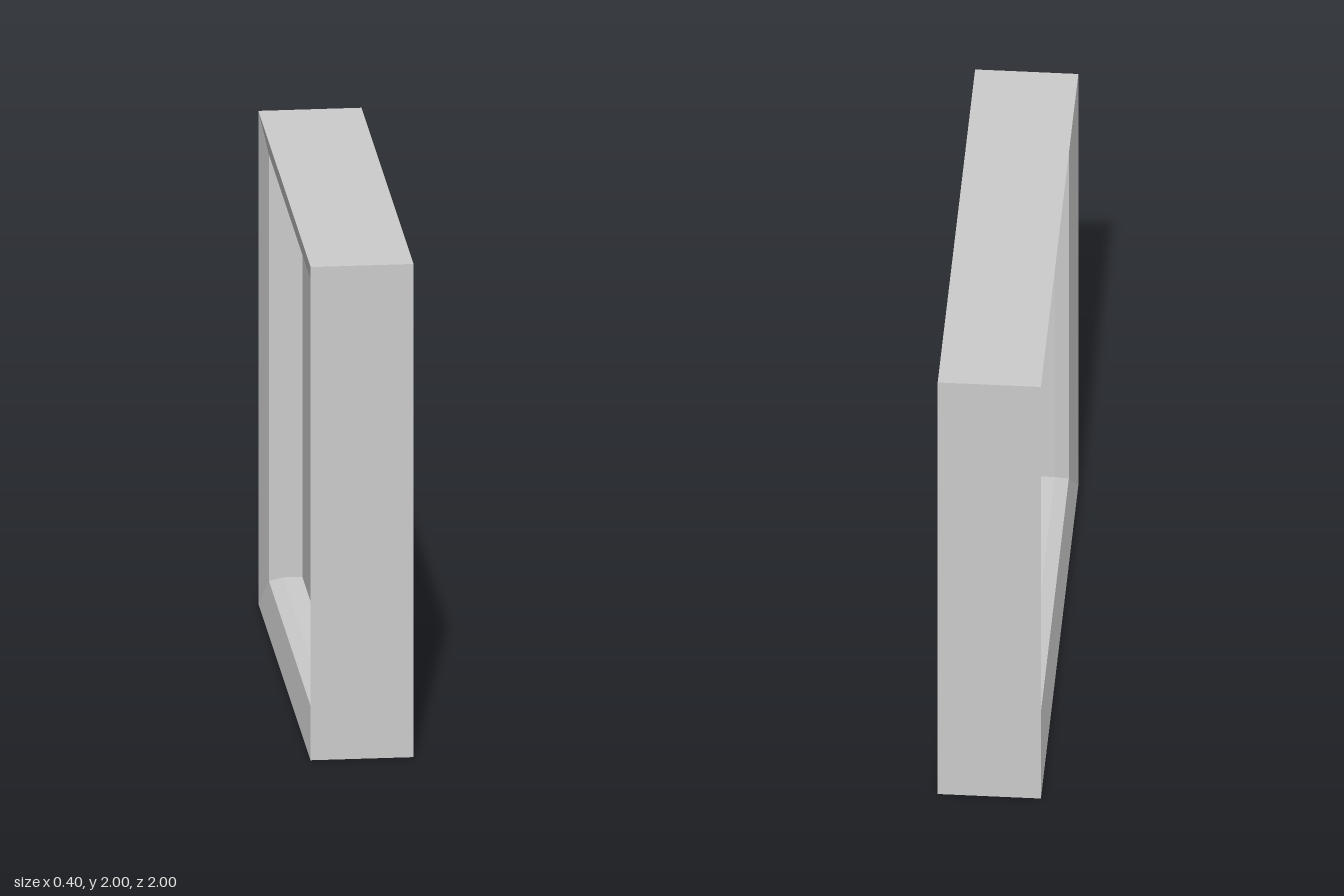
import * as THREE from 'three';

export function createModel() {
  const group = new THREE.Group();
  group.name = 'framedPanel';
  const material = new THREE.MeshStandardMaterial({ color: 0xcccccc, flatShading: true });

  // Half of the frame's cross-section: [distance from centre, depth along x]
  const half = [[1, 0.2], [0.865, 0.173], [0.845, 0.12]];
  const mirrored = half.map(([r, x]) => [r, -x]).reverse();
  const outline = [[1, -0.2], ...half, ...mirrored];
  const profile = outline.map(([r, x]) => new THREE.Vector2(r * Math.SQRT2, x));

  // Mitred square frame: the profile swept around four sides, axis turned to x
  const ring = new THREE.LatheGeometry(profile, 4, Math.PI / 4).toNonIndexed();
  ring.rotateZ(-Math.PI / 2);
  ring.computeVertexNormals();
  const frame = new THREE.Mesh(ring, material);
  frame.name = 'frame';
  frame.position.y = 1;
  group.add(frame);

  // Recessed panel in the middle of the frame
  const panel = new THREE.Mesh(new THREE.BoxGeometry(0.09, 1.69, 1.69), material);
  panel.name = 'panel';
  panel.position.y = 1;
  group.add(panel);

  return group;
}
